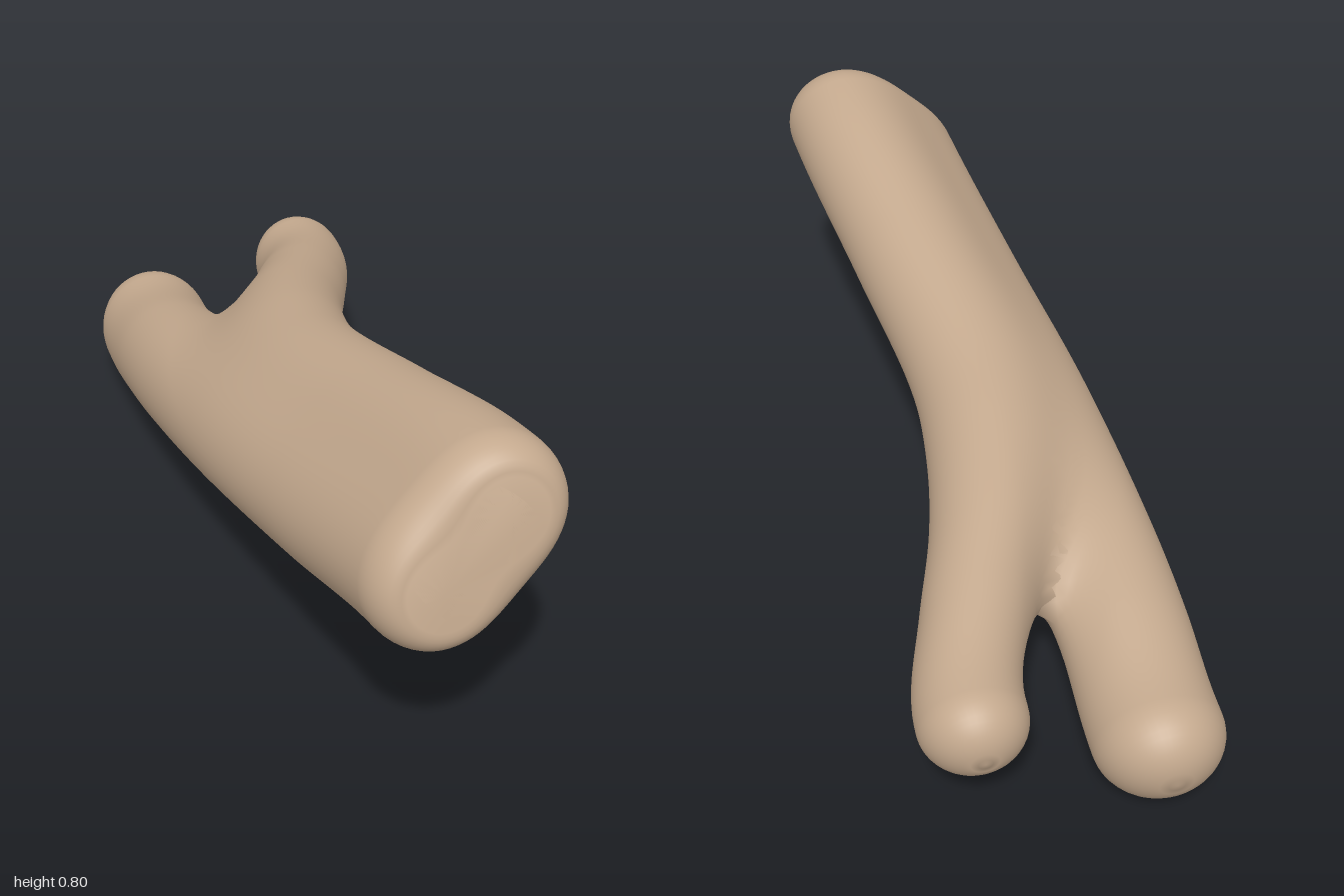
import * as THREE from 'three';

const TILT = 0.22;            // sections lean back, square to the rising stem
const BLEND = 0.16;           // softness of the join between the two stems
const FRONT = 1.03, FRONT_ROUND = 0.09;
const SIDES = 48;

const along = (y, z) => z + TILT * (y - 0.335);

// A stem is a smooth centre line with a radius, as [x, y, z, radius] from back to front
function makeStem(points) {
  const stations = points.map(([, y, z]) => along(y, z));
  const curve = new THREE.CubicInterpolant(stations, points.flat(), 4, new Float64Array(4));
  return { back: stations[0], at: s => Array.from(curve.evaluate(s)) };
}

const main = makeStem([
  [-0.18, 0.145, -1.0, 0.14], [-0.18, 0.155, -0.8, 0.14], [-0.182, 0.205, -0.6, 0.14],
  [-0.175, 0.25, -0.4, 0.14], [-0.14, 0.335, 0, 0.14], [-0.075, 0.425, 0.45, 0.14],
  [-0.01, 0.53, 0.9, 0.14], [0.0, 0.55, 1.05, 0.14],
]);
const side = makeStem([
  [0.212, 0.28, -0.98, 0.115], [0.207, 0.295, -0.8, 0.115], [0.14, 0.34, -0.6, 0.122],
  [0.065, 0.385, -0.4, 0.132], [0.018, 0.425, -0.2, 0.14], [0.005, 0.465, 0, 0.14],
  [0.06, 0.56, 0.4, 0.14], [0.115, 0.645, 0.75, 0.14], [0.14, 0.69, 1.02, 0.14],
]);

// Distance to one stem in its section, with a rounded back tip
function stemDistance(stem, x, y, s) {
  const [cx, cy, , r] = stem.at(s);
  const t = Math.max(0, 1 - (s - stem.back) / r);
  const radius = t < 1 ? r * Math.sqrt(1 - t * t) : (1 - t) * r;
  return Math.hypot(x - cx, y - cy) - radius;
}

// Both stems blended softly, with a rounded front edge
function field(x, y, s) {
  const a = stemDistance(main, x, y, s), b = stemDistance(side, x, y, s);
  const h = Math.max(BLEND - Math.abs(a - b), 0) / BLEND;
  const t = Math.max(0, (s - FRONT) / FRONT_ROUND + 1);
  const inset = t < 1 ? 0.065 * (1 - Math.sqrt(1 - t * t)) : 0.065 + (t - 1);
  return Math.min(a, b) - h * h * BLEND / 4 + inset;
}

function normalAt(x, y, z) {
  const e = 0.004, f = (px, py, pz) => field(px, py, along(py, pz));
  return new THREE.Vector3(
    f(x + e, y, z) - f(x - e, y, z),
    f(x, y + e, z) - f(x, y - e, z),
    f(x, y, z + e) - f(x, y, z - e)).normalize();
}

// Skin of one stem: rings pushed out from its centre line to the blended surface
function stemGeometry(stem) {
  const stations = [];
  const backR = stem.at(stem.back)[3], capSteps = 12, bodySteps = 70;
  for (let i = 1; i <= capSteps; i++)
    stations.push(stem.back + backR * (1 - Math.cos(i / capSteps * Math.PI / 2)));
  const first = stem.back + backR, last = FRONT - FRONT_ROUND;
  for (let i = 1; i <= bodySteps; i++) stations.push(first + (last - first) * i / bodySteps);
  for (let i = 1; i <= 10; i++)
    stations.push(last + FRONT_ROUND * Math.sin(i / 10 * Math.PI / 2));

  const position = [], normal = [], index = [];
  const add = (x, y, s, n) => {
    const z = s - TILT * (y - 0.335);
    position.push(x, y, z);
    normal.push(...(n || normalAt(x, y, z)).toArray());
  };
  for (const s of stations) {
    const [cx, cy, , r] = stem.at(s);
    for (let j = 0; j < SIDES; j++) {
      const angle = j / SIDES * Math.PI * 2, ux = Math.cos(angle), uy = Math.sin(angle);
      const value = d => field(cx + ux * d, cy + uy * d, s);
      const limit = r * 1.6, step = limit / 40;
      let d = 0;
      while (d < limit && value(d + step) < 0) d += step;
      if (d < limit) {
        let lo = d, hi = d + step;
        for (let k = 0; k < 16; k++) {
          const mid = (lo + hi) / 2;
          if (value(mid) < 0) lo = mid; else hi = mid;
        }
        d = lo;
      }
      add(cx + ux * d, cy + uy * d, s);
    }
  }
  for (let i = 0; i < stations.length - 1; i++) {
    for (let j = 0; j < SIDES; j++) {
      const k = (j + 1) % SIDES;
      const a = i * SIDES + j, b = i * SIDES + k;
      index.push(a, b, b + SIDES, a, b + SIDES, a + SIDES);
    }
  }
  // Close the back tip and the front face
  const lastRing = (stations.length - 1) * SIDES, tip = stations.length * SIDES;
  const [bx, by] = stem.at(stem.back), [fx, fy] = stem.at(FRONT);
  add(bx, by, stem.back, new THREE.Vector3(0, -TILT, -1).normalize());
  add(fx, fy, FRONT, new THREE.Vector3(0, TILT, 1).normalize());
  for (let j = 0; j < SIDES; j++) {
    const k = (j + 1) % SIDES;
    index.push(tip, k, j, tip + 1, lastRing + j, lastRing + k);
  }

  const geometry = new THREE.BufferGeometry();
  geometry.setAttribute('position', new THREE.Float32BufferAttribute(position, 3));
  geometry.setAttribute('normal', new THREE.Float32BufferAttribute(normal, 3));
  geometry.setIndex(index);
  return geometry;
}

export function createModel() {
  const group = new THREE.Group();
  group.name = 'forkedBranch';
  const tan = new THREE.MeshStandardMaterial({ color: 0xc4a98e });
  tan.name = 'tan';
  for (const [name, stem] of [['mainStem', main], ['sideBranch', side]]) {
    const mesh = new THREE.Mesh(stemGeometry(stem), tan);
    mesh.name = name;
    group.add(mesh);
  }
  return group;
}
